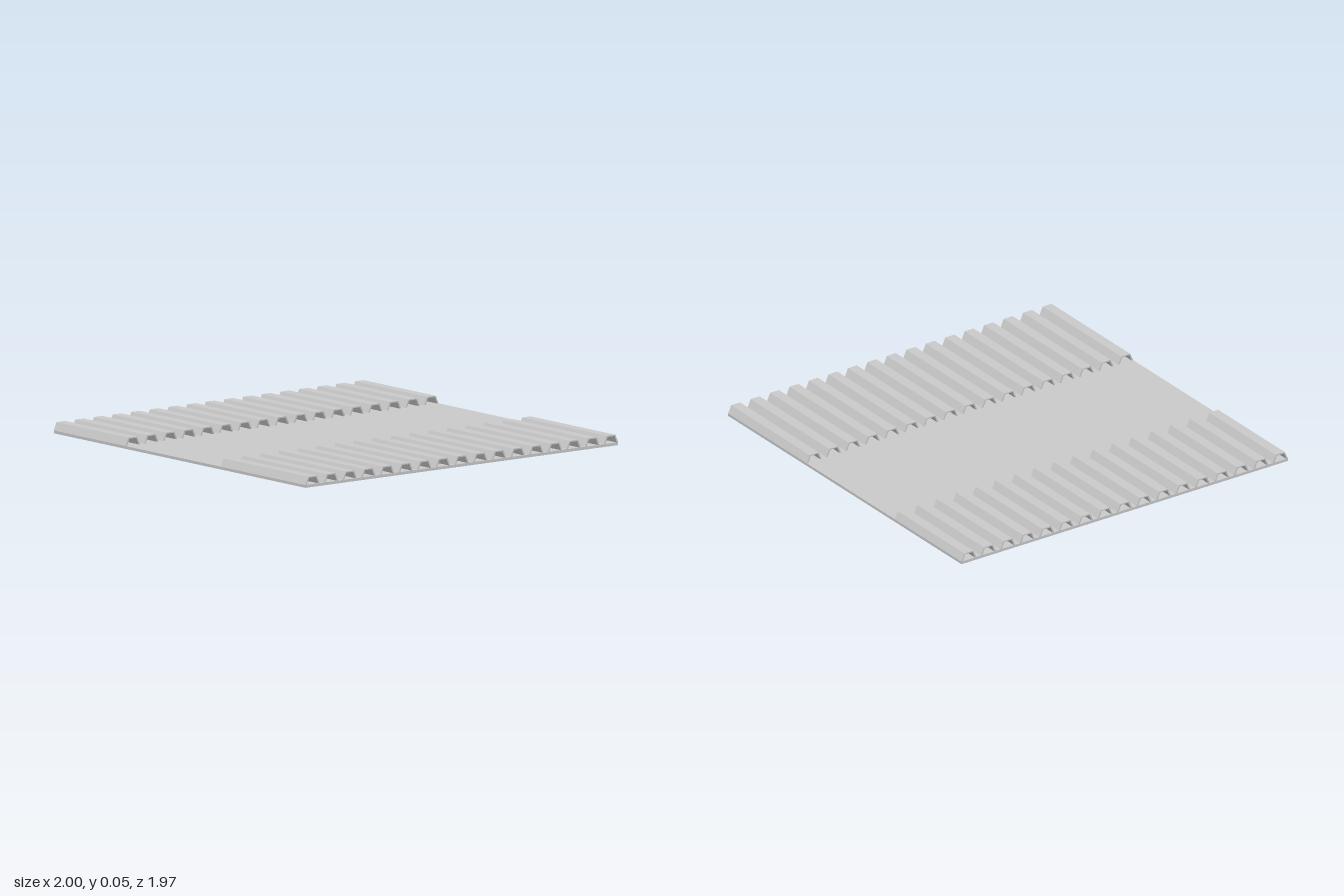
import * as THREE from 'three';

const HALF_Z = 0.987;      // half depth of the plate
const PLATE = 0.014;       // plate thickness
const TOP = 0.054;         // crest height of the ribs
const RIBS = 17;
const FOOT = 0.045, CREST = 0.027; // half widths of a rib at foot and crest
const WALL = 0.009, ROOF = 0.006;  // horizontal wall and crest thickness

// hollow trapezoid rib, open underneath, running along x from x0 to x1
function ribGeometry(x0, x1) {
  const shape = new THREE.Shape([
    [-FOOT, PLATE], [-FOOT + WALL, PLATE], [-CREST + WALL * 0.6, TOP - ROOF],
    [CREST - WALL * 0.6, TOP - ROOF], [FOOT - WALL, PLATE], [FOOT, PLATE],
    [CREST, TOP], [-CREST, TOP],
  ].map(([x, y]) => new THREE.Vector2(x, y)));
  const geometry = new THREE.ExtrudeGeometry(shape, { depth: x1 - x0, bevelEnabled: false });
  geometry.rotateY(Math.PI / 2);
  geometry.translate(x0, 0, 0);
  return geometry;
}

export function createModel() {
  const group = new THREE.Group();
  group.name = 'ribbedPanel';
  const material = new THREE.MeshStandardMaterial({ color: 0xcccccc, flatShading: true });

  // flat base plate
  const plate = new THREE.Mesh(new THREE.BoxGeometry(2, PLATE, HALF_Z * 2), material);
  plate.name = 'basePlate';
  plate.position.y = PLATE / 2;
  group.add(plate);

  // one bank of parallel ribs on each side of the smooth middle strip
  const pitch = 2 * (HALF_Z - FOOT) / (RIBS - 1);
  for (const [name, x0, x1] of [['rightRibs', -1, -0.428], ['leftRibs', 0.326, 1]]) {
    const bank = new THREE.Group();
    bank.name = name;
    const geometry = ribGeometry(x0, x1);
    for (let i = 0; i < RIBS; i++) {
      const rib = new THREE.Mesh(geometry, material);
      rib.name = 'rib';
      rib.position.z = -HALF_Z + FOOT + i * pitch;
      bank.add(rib);
    }
    group.add(bank);
  }
  return group;
}
